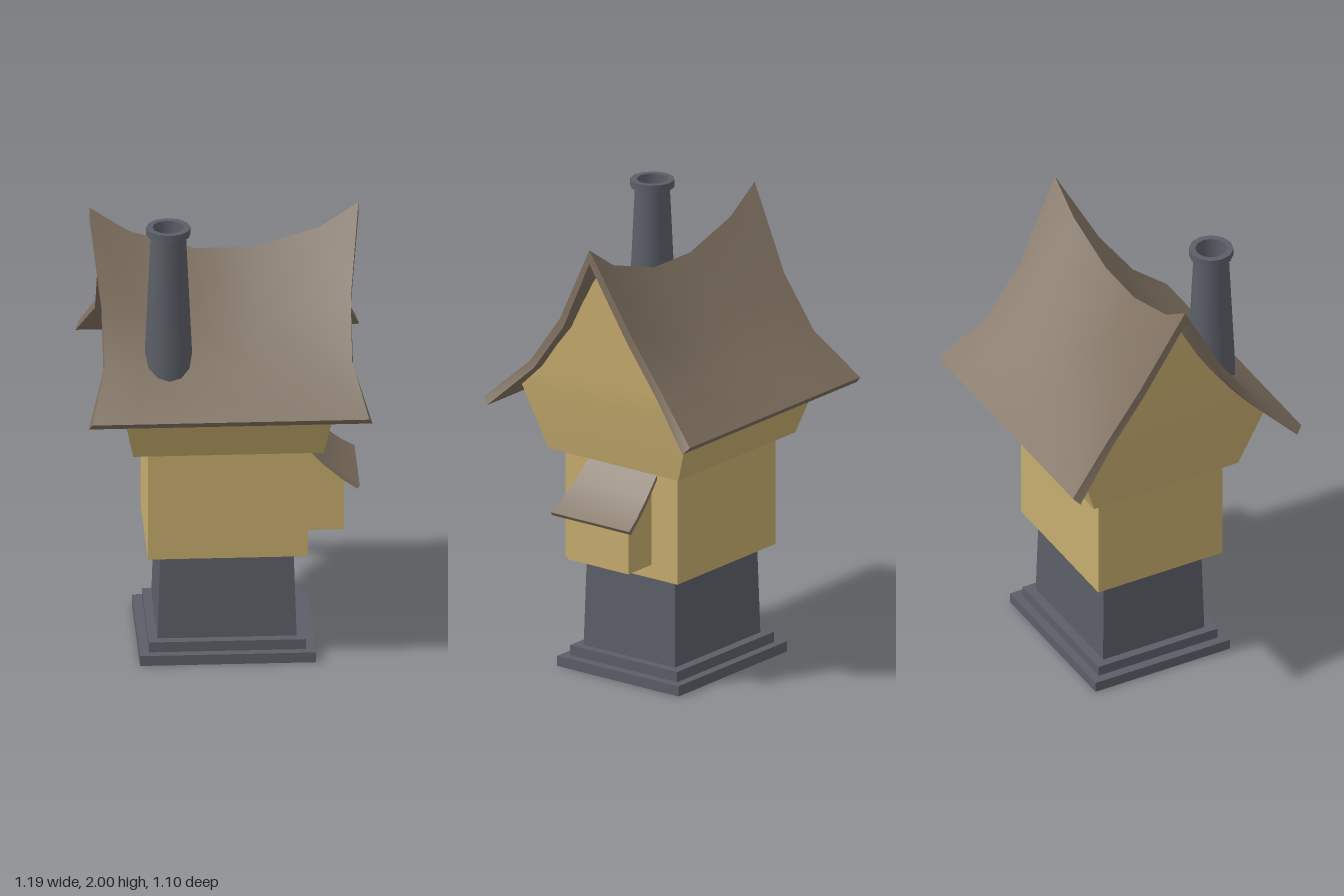
import * as THREE from 'three';
import { toCreasedNormals } from 'three/addons/utils/BufferGeometryUtils.js';

const material = (name, color) => {
  const m = new THREE.MeshStandardMaterial({ color });
  m.name = name;
  return m;
};

// Triangles from a list of four-cornered faces, smooth except at sharp edges
function fromQuads(quads) {
  const p = [];
  for (const [a, b, c, d] of quads) p.push(...a, ...b, ...c, ...a, ...c, ...d);
  const g = new THREE.BufferGeometry();
  g.setAttribute('position', new THREE.Float32BufferAttribute(p, 3));
  return toCreasedNormals(g, 0.6);
}

// Closed curved slab: each ring runs along the top profile and back along the underside
function slab(rings) {
  const quads = [], n = rings[0].length, last = rings.length - 1;
  for (let s = 0; s < last; s++) {
    for (let i = 0; i < n; i++) {
      const j = (i + 1) % n;
      quads.push([rings[s][i], rings[s][j], rings[s + 1][j], rings[s + 1][i]]);
    }
  }
  for (let i = 0; i < n / 2 - 1; i++) {
    const end = r => [r[i], r[n - 1 - i], r[n - 2 - i], r[i + 1]];
    quads.push(end(rings[0]), end(rings[last]).reverse());
  }
  return fromQuads(quads);
}

// Box whose top is narrower than its base
function taperedBox(w, h, d, topW, topD) {
  const g = new THREE.BoxGeometry(w, h, d), p = g.attributes.position;
  for (let i = 0; i < p.count; i++) {
    if (p.getY(i) > 0) p.setXYZ(i, p.getX(i) * topW / w, p.getY(i), p.getZ(i) * topD / d);
  }
  g.computeVertexNormals();
  return g;
}

// Swaybacked roof: profile rows are [z, y, half length, share of the ridge sag]
function roofGeometry() {
  const outer = [[0, 1.965, 0.565, 1], [0.19, 1.61, 0.523, 0.45], [0.35, 1.39, 0.52, 0.1], [0.548, 1.207, 0.582, 0]];
  const inner = [[0, 1.905, 0.565, 1], [0.168, 1.58, 0.525, 0.45], [0.328, 1.362, 0.525, 0.1], [0.52, 1.177, 0.597, 0]];
  const mirrored = rows => [
    ...rows.slice(1).reverse().map(([z, ...rest]) => [-z, ...rest]),
    ...rows,
  ];
  const ring = [...mirrored(outer), ...mirrored(inner).reverse()];
  const stations = [[-1, 0], [-0.71, 0.11], [-0.22, 0.195], [0.22, 0.195], [0.71, 0.11], [1, 0]];
  return slab(stations.map(([t, sag]) => ring.map(([z, y, x, share]) => [t * x, y - sag * share, z])));
}

// Flared upper storey: floor, front and back skirts, and a gable at each end
function upperGeometry() {
  const rows = [[0.4, 0.97, 0.345], [0.455, 1.25, 0.445], [0.465, 1.36, 0.335], [0.473, 1.55, 0.18], [0.49, 1.865, 0]];
  const at = ([x, y, z], sx, sz) => [x * sx, y, z * sz];
  const [r0, r1] = rows;
  const quads = [[at(r0, -1, -1), at(r0, 1, -1), at(r0, 1, 1), at(r0, -1, 1)]];
  for (const s of [1, -1]) {
    quads.push([at(r0, -s, s), at(r0, s, s), at(r1, s, s), at(r1, -s, s)]);
    for (let i = 0; i < rows.length - 1; i++) {
      const a = rows[i], b = rows[i + 1];
      quads.push([at(a, s, s), at(a, s, -s), at(b, s, -s), at(b, s, s)]);
    }
  }
  return fromQuads(quads);
}

// Side canopy, widening towards its lower edge; rows are [x, y, half width]
function canopyGeometry() {
  const top = [[0.335, 0.945, 0.182], [0.42, 0.86, 0.19], [0.5, 0.795, 0.2], [0.56, 0.757, 0.208]];
  const under = [[0.335, 0.925, 0.182], [0.41, 0.845, 0.19], [0.49, 0.78, 0.2], [0.55, 0.742, 0.21]];
  const ring = [...top, ...under.reverse()];
  return slab([1, -1].map(s => ring.map(([x, y, z]) => [x, y, z * s])));
}

// Bay with a top that follows the canopy
function bayGeometry() {
  const shape = new THREE.Shape([
    [0.33, 0.54], [0.495, 0.54], [0.495, 0.783], [0.415, 0.852], [0.33, 0.935],
  ].map(([x, y]) => new THREE.Vector2(x, y)));
  return new THREE.ExtrudeGeometry(shape, { depth: 0.322, bevelEnabled: false });
}

// Open chimney with a rim
function chimneyGeometry() {
  const profile = [[0.1, 1.3], [0.1, 1.42], [0.074, 1.968], [0.094, 1.968], [0.094, 2], [0.067, 2], [0.067, 1.3]];
  return toCreasedNormals(
    new THREE.LatheGeometry(profile.map(([r, y]) => new THREE.Vector2(r, y)), 12), 0.6);
}

export function createModel() {
  const wall = material('ochre plaster', 0xc6ac6e);
  const stone = material('grey stone', 0x5b5f67);
  const shingle = material('brown shingle', 0x807161);
  const group = new THREE.Group();
  group.name = 'towerHouse';

  const add = (name, geometry, mat, x = 0, y = 0, z = 0) => {
    const mesh = new THREE.Mesh(geometry, mat);
    mesh.name = name;
    mesh.position.set(x, y, z);
    group.add(mesh);
  };

  // Stone foot
  add('lowerStep', new THREE.BoxGeometry(0.74, 0.045, 0.645), stone, 0, 0.0225);
  add('upperStep', new THREE.BoxGeometry(0.66, 0.045, 0.57), stone, 0, 0.0675);
  add('stoneBase', taperedBox(0.585, 0.39, 0.485, 0.56, 0.47), stone, 0, 0.285);

  // Plastered storeys
  add('lowerStorey', new THREE.BoxGeometry(0.672, 0.49, 0.596), wall, 0, 0.725, 0.008);
  add('upperStorey', upperGeometry(), wall);
  add('sideBay', bayGeometry(), wall, 0, 0, -0.153);

  // Roofs and chimney
  add('sideCanopy', canopyGeometry(), shingle);
  add('roof', roofGeometry(), shingle);
  add('chimney', chimneyGeometry(), stone, -0.25, 0, 0.299);

  return group;
}
